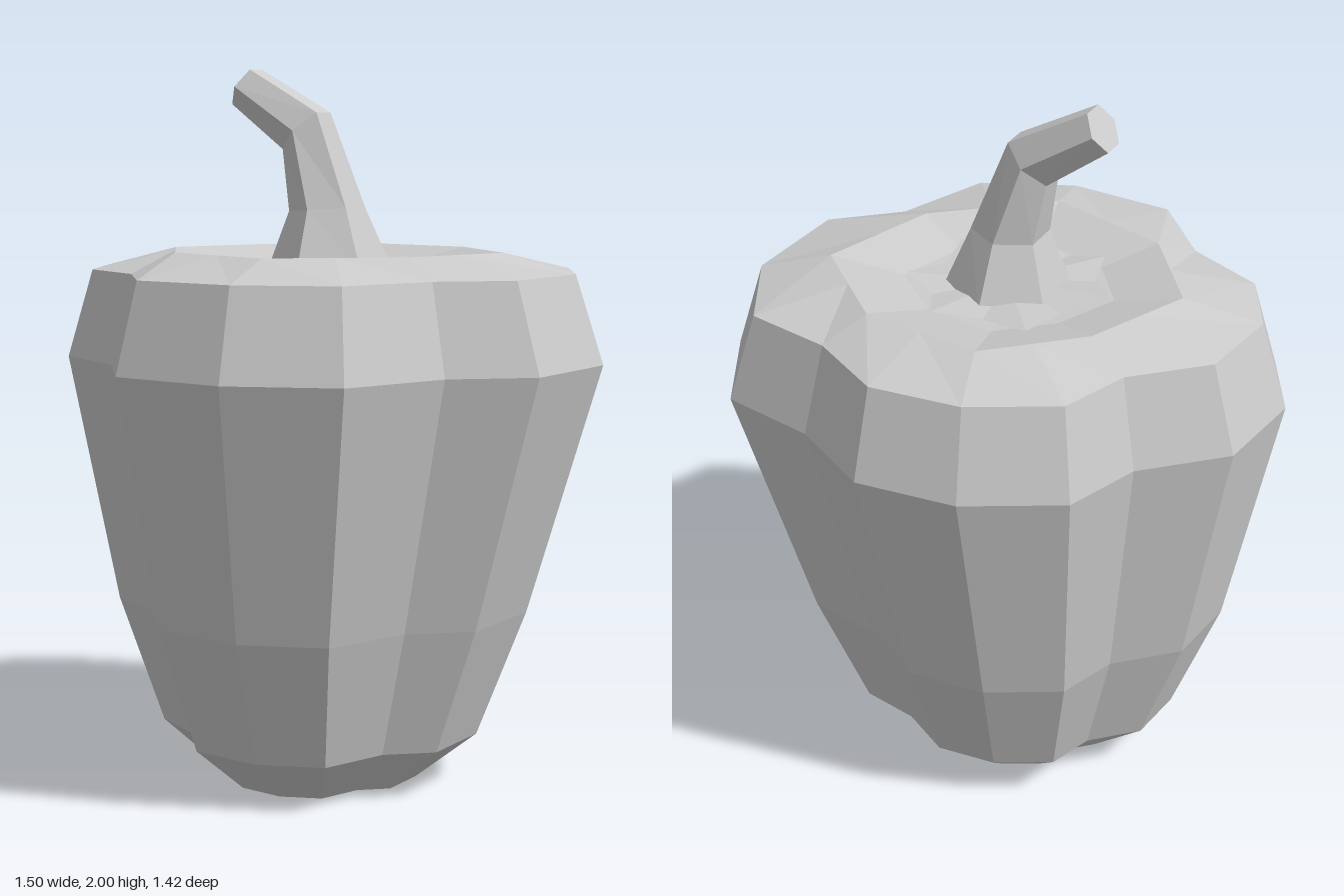
import * as THREE from 'three';

const material = new THREE.MeshStandardMaterial({ color: 0xcccccc, flatShading: true });
const leafMaterial = new THREE.MeshStandardMaterial({ color: 0xcccccc, flatShading: true, side: THREE.DoubleSide });

// Skin a list of closed rings (bottom to top, each an array of [x, y, z]).
function loft(rings) {
  const pos = [];
  const same = (a, b) => a.every((v, i) => v === b[i]);
  const tri = (a, b, c) => {
    if (!same(a, b) && !same(b, c) && !same(a, c)) pos.push(...a, ...b, ...c);
  };
  for (let r = 0; r + 1 < rings.length; r++) {
    const lo = rings[r], up = rings[r + 1], n = lo.length;
    for (let i = 0; i < n; i++) {
      const j = (i + 1) % n;
      tri(lo[i], up[i], up[j]);
      tri(lo[i], up[j], lo[j]);
    }
  }
  const geometry = new THREE.BufferGeometry();
  geometry.setAttribute('position', new THREE.Float32BufferAttribute(pos, 3));
  geometry.computeVertexNormals();
  return geometry;
}

function part(name, geometry, mat = material) {
  const mesh = new THREE.Mesh(geometry, mat);
  mesh.name = name;
  return mesh;
}

const point = (n, p) => Array.from({ length: n }, () => p);

// Lobed outline at the widest level, as [x, z] from the back round by +x
const outline = [
  [0.10, -0.71], [0.33, -0.57], [0.60, -0.51], [0.75, -0.23],
  [0.73, 0.13], [0.54, 0.29], [0.42, 0.59], [0.13, 0.71],
  [-0.21, 0.68], [-0.40, 0.45], [-0.64, 0.33], [-0.75, 0.11],
  [-0.71, -0.17], [-0.51, -0.35], [-0.43, -0.56], [-0.18, -0.69],
];

// Top rim, one corner for every second outline point
const rim = [
  [0.23, -0.40], [0.48, -0.16], [0.37, 0.18], [0.07, 0.42],
  [-0.29, 0.30], [-0.47, 0.04], [-0.34, -0.25], [-0.11, -0.45],
];

function bodyGeometry() {
  const ring = (y, s, dx = 0, dz = 0) => outline.map(([x, z]) => [x * s + dx, y, z * s + dz]);
  const rimRing = (y, s) => outline.map((_, i) => {
    const a = rim[((i - 1) >> 1) & 7];
    const b = i % 2 ? a : rim[(i >> 1) & 7];
    return [(a[0] + b[0]) / 2 * s, y, (a[1] + b[1]) / 2 * s];
  });
  return loft([
    point(16, [-0.035, 0.02, -0.015]),
    ring(0, 0.38, -0.035, -0.015),
    ring(0.14, 0.605, -0.035, -0.01),
    ring(0.5, 0.78, -0.035, -0.01),
    ring(1.2, 1),
    ring(1.445, 0.9),
    rimRing(1.5, 1),
    rimRing(1.455, 0.6), // sunken crown
    point(16, [0.01, 1.44, 0]),
  ]);
}

// Bent six-sided stem: each level is left x, left y, right x, right y, half depth
function stemGeometry() {
  const levels = [
    [-0.13, 1.445, 0.17, 1.45, 0.175],
    [-0.08, 1.61, 0.103, 1.62, 0.105],
    [-0.11, 1.78, 0.0, 1.88, 0.075],
    [-0.28, 1.905, -0.22, 2.0, 0.068],
  ];
  const rings = levels.map(([lx, ly, rx, ry, d]) => Array.from({ length: 6 }, (_, k) => {
    const a = Math.PI / 6 + k * Math.PI / 3;
    const t = 0.5 + Math.cos(a) / Math.cos(Math.PI / 6) / 2;
    return [lx + (rx - lx) * t, ly + (ry - ly) * t, Math.sin(a) * d - 0.005];
  }));
  return loft([...rings, point(6, [-0.25, 1.9525, -0.005])]);
}

// Pointed leaf star round the foot of the stem
function calyxGeometry() {
  const tips = [
    [0.11, -0.28], [0.27, -0.11], [0.23, 0.13], [0.02, 0.23],
    [-0.17, 0.21], [-0.28, 0.0], [-0.16, -0.26],
  ];
  const star = tips.flatMap(([x, z], i) => {
    const [u, w] = tips[(i + 1) % tips.length];
    return [[x, 1.475, z], [(x + u) * 0.43, 1.46, (z + w) * 0.43]];
  });
  return loft([star, point(star.length, [0.02, 1.46, -0.005])]);
}

export function createModel() {
  const model = new THREE.Group();
  model.name = 'bellPepper';
  model.add(
    part('body', bodyGeometry()),
    part('stem', stemGeometry()),
    part('calyx', calyxGeometry(), leafMaterial),
  );
  return model;
}
